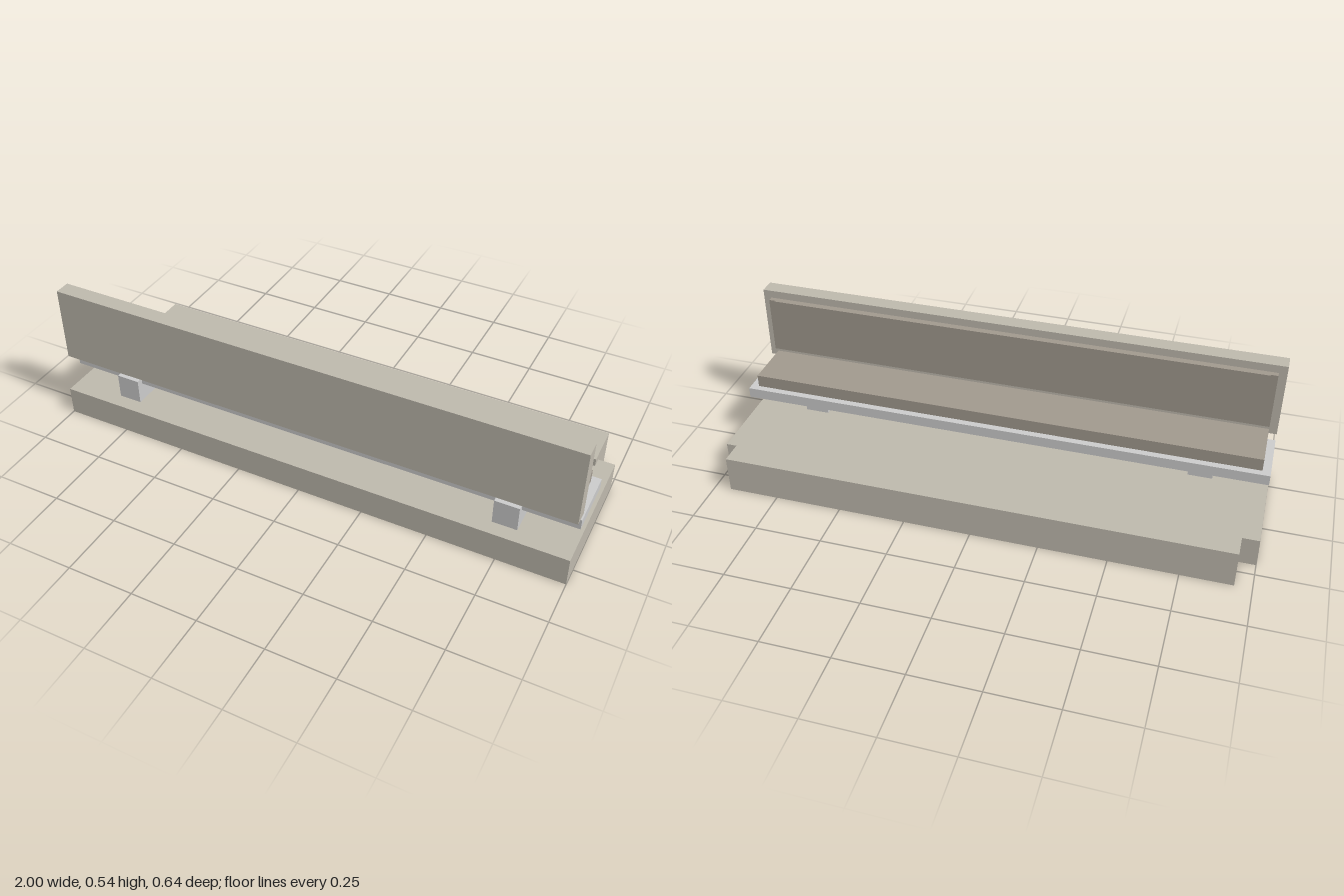
import * as THREE from 'three';

const stone = new THREE.MeshStandardMaterial({ color: 0xbeb9ad });
const padding = new THREE.MeshStandardMaterial({ color: 0xa1998e });
const metal = new THREE.MeshStandardMaterial({ color: 0xcccccc });

// Box given by its ranges along x, y and z
function block(name, material, [x0, x1], [y0, y1], [z0, z1]) {
  const mesh = new THREE.Mesh(new THREE.BoxGeometry(x1 - x0, y1 - y0, z1 - z0), material);
  mesh.position.set((x0 + x1) / 2, (y0 + y1) / 2, (z0 + z1) / 2);
  mesh.name = name;
  return mesh;
}

export function createModel() {
  const bench = new THREE.Group();
  bench.name = 'bench';

  // Floor plinth with a slightly raised, shorter kerb along the back
  bench.add(
    block('plinth', stone, [-1, 1], [0, 0.11], [-0.2, 0.322]),
    block('rearKerb', stone, [-0.938, 0.938], [0, 0.141], [-0.322, -0.161])
  );

  // Support blocks, notched around the front edge of the seat board
  for (const side of [-1, 1]) {
    const x = side * 0.755;
    bench.add(block('supportBlock', metal, [x - 0.045, x + 0.045], [0.11, 0.206], [0.097, 0.267]));
  }

  // Seat board and cushion
  bench.add(
    block('seatBoard', metal, [-1, 1], [0.182, 0.222], [0.022, 0.242]),
    block('seatCushion', padding, [-0.97, 0.97], [0.222, 0.27], [0.047, 0.242])
  );

  // Upright panel, its pad and the thin trim along the pad's top edge
  bench.add(
    block('backPanel', stone, [-1, 1], [0.252, 0.543], [0.238, 0.298]),
    block('backPad', padding, [-0.97, 0.97], [0.293, 0.513], [0.218, 0.238]),
    block('padTrim', padding, [-0.945, 0.945], [0.509, 0.514], [0.211, 0.218])
  );

  return bench;
}
